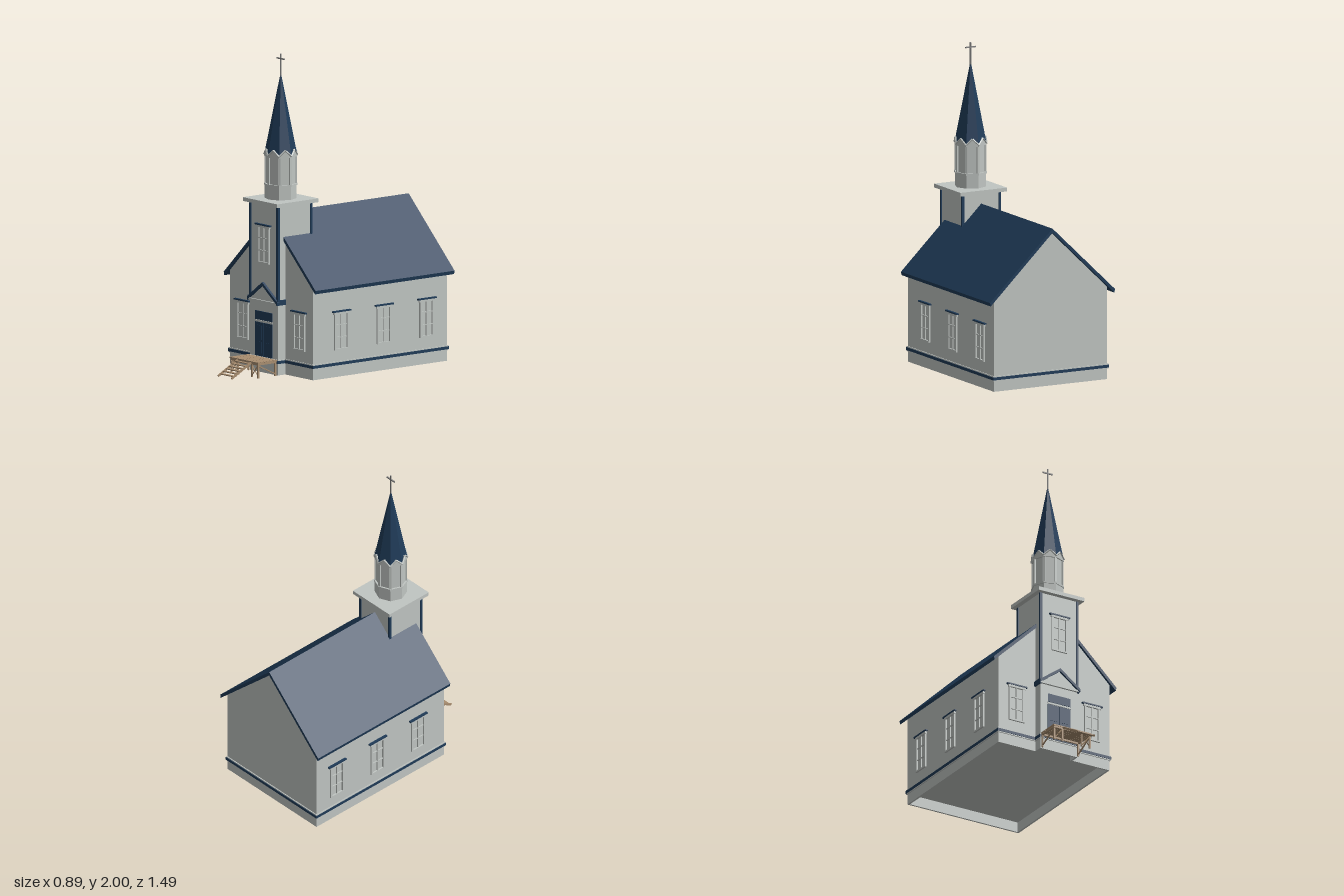
import * as THREE from 'three';
import { toCreasedNormals } from 'three/addons/utils/BufferGeometryUtils.js';

const mat = (name, color) => Object.assign(new THREE.MeshStandardMaterial({ color }), { name });
const Z = new THREE.Vector3(0, 0, 1);

export function createModel() {
  const wall = mat('wall white', 0xc0c5c2);
  const blue = mat('slate blue', 0x1f3b58);
  const wood = mat('weathered wood', 0xa98e70);
  const metal = mat('cross metal', 0x858585);
  const root = new THREE.Group();
  root.name = 'church';

  const add = (parent, name, geo, material) => {
    const m = new THREE.Mesh(geo, material);
    m.name = name;
    parent.add(m);
    return m;
  };
  // box given by its limits
  const box = (parent, name, material, x0, x1, y0, y1, z0, z1) => {
    const m = add(parent, name, new THREE.BoxGeometry(x1 - x0, y1 - y0, z1 - z0), material);
    m.position.set((x0 + x1) / 2, (y0 + y1) / 2, (z0 + z1) / 2);
    return m;
  };
  // square bar between two points
  const bar = (parent, name, material, a, b, w, d = w) => {
    const p = new THREE.Vector3(...a), q = new THREE.Vector3(...b);
    const m = add(parent, name, new THREE.BoxGeometry(w, d, p.distanceTo(q)), material);
    m.position.copy(p).add(q).multiplyScalar(0.5);
    m.quaternion.setFromUnitVectors(Z, q.sub(p).normalize());
    return m;
  };
  const prism = (parent, name, material, pts, z0, z1) => {
    const shape = new THREE.Shape(pts.map(p => new THREE.Vector2(...p)));
    const geo = new THREE.ExtrudeGeometry(shape, { depth: z1 - z0, bevelEnabled: false });
    geo.translate(0, 0, z0);
    return add(parent, name, geo, material);
  };
  const octagon = (parent, name, material, rTop, rBottom, y0, y1, z) => {
    const geo = new THREE.CylinderGeometry(rTop, rBottom, y1 - y0, 8);
    const m = add(parent, name, toCreasedNormals(geo, 0.3), material);
    m.position.set(0, (y0 + y1) / 2, z);
    return m;
  };

  // hollow foundation following the nave and tower outline
  const outline = o => [[-0.405 + o, 0.72 - o], [-0.405 + o, -0.365 + o], [-0.135 + o, -0.365 + o],
    [-0.135 + o, -0.425 + o], [0.135 - o, -0.425 + o], [0.135 - o, -0.365 + o],
    [0.405 - o, -0.365 + o], [0.405 - o, 0.72 - o]].map(p => new THREE.Vector2(...p));
  const plan = new THREE.Shape(outline(0));
  plan.holes.push(new THREE.Path(outline(0.012)));
  const footing = new THREE.ExtrudeGeometry(plan, { depth: 0.07, bevelEnabled: false });
  footing.rotateX(-Math.PI / 2);
  add(root, 'foundation', footing, wall);

  // nave and roof
  prism(root, 'naveWalls', wall,
    [[-0.405, 0.066], [0.405, 0.066], [0.405, 0.585], [0, 0.978], [-0.405, 0.585]], -0.72, 0.365);
  prism(root, 'naveRoof', blue,
    [[0, 1], [-0.447, 0.572], [-0.442, 0.55], [0, 0.974], [0.442, 0.55], [0.447, 0.572]], -0.745, 0.38);

  // tower and its cap
  box(root, 'towerWalls', wall, -0.135, 0.135, 0.066, 1.066, 0.155, 0.425);
  box(root, 'towerCap', wall, -0.167, 0.167, 1.066, 1.09, 0.123, 0.457);
  for (const sx of [-1, 1]) {
    for (const z of [0.158, 0.422]) {
      const c = box(root, 'towerCornerBoard', blue, -0.008, 0.008, 0.47, 1.066, z - 0.008, z + 0.008);
      c.position.x = sx * 0.132;
    }
  }

  // base bands around nave and tower
  for (const [name, m, y0, y1, o] of [
    ['lowerBaseTrim', wall, 0.067, 0.074, 0.006],
    ['baseBand', blue, 0.074, 0.092, 0.009],
    ['upperBaseTrim', wall, 0.092, 0.099, 0.006]]) {
    box(root, name, m, -0.405 - o, 0.405 + o, y0, y1, -0.72 - o, 0.365 + o);
    box(root, name, m, -0.135 - o, 0.135 + o, y0, y1, 0.3, 0.425 + o);
  }

  // windows: frame, mullions and hood, built facing +z
  const windowAt = (x, y0, y1, z, ry) => {
    const g = new THREE.Group();
    g.name = 'window';
    g.position.set(x, 0, z);
    g.rotation.y = ry;
    for (const s of [-1, 1]) {
      const j = box(g, 'jamb', wall, -0.006, 0.006, y0, y1, 0, 0.01);
      j.position.x = s * 0.05;
    }
    box(g, 'sill', wall, -0.056, 0.056, y0, y0 + 0.01, 0, 0.011);
    box(g, 'head', wall, -0.062, 0.062, y1 - 0.014, y1, 0, 0.012);
    box(g, 'mullion', wall, -0.004, 0.004, y0, y1, 0, 0.007);
    for (const t of [1 / 3, 2 / 3]) {
      const y = y0 + (y1 - y0) * t;
      box(g, 'glazingBar', wall, -0.05, 0.05, y - 0.003, y + 0.003, 0, 0.007);
    }
    box(g, 'hood', blue, -0.073, 0.073, y1, y1 + 0.009, 0, 0.016);
    root.add(g);
  };
  for (const s of [-1, 1]) {
    windowAt(s * 0.275, 0.17, 0.41, 0.365, 0);
    for (const z of [0.14, -0.205, -0.55]) windowAt(s * 0.405, 0.17, 0.41, z, s * Math.PI / 2);
  }
  windowAt(0, 0.69, 0.93, 0.425, 0);

  // double door with transom
  for (const s of [-1, 1]) {
    const leaf = box(root, 'doorLeaf', blue, -0.041, 0.041, 0.1, 0.314, 0.42, 0.428);
    leaf.position.x = s * 0.042;
    for (const [y0, y1] of [[0.12, 0.19], [0.205, 0.295]]) {
      const p = box(root, 'doorPanel', blue, -0.022, 0.022, y0, y1, 0.426, 0.431);
      p.position.x = s * 0.042;
    }
  }
  box(root, 'doorLintel', wall, -0.084, 0.084, 0.316, 0.328, 0.42, 0.43);
  box(root, 'transom', blue, -0.082, 0.082, 0.33, 0.385, 0.42, 0.43);

  // pediment above the door
  prism(root, 'pedimentFill', wall, [[-0.13, 0.458], [0.13, 0.458], [0, 0.555]], 0.42, 0.43);
  prism(root, 'pedimentRake', blue,
    [[0, 0.573], [-0.147, 0.465], [-0.147, 0.445], [-0.125, 0.46], [0, 0.552],
      [0.125, 0.46], [0.147, 0.445], [0.147, 0.465]], 0.42, 0.442);
  box(root, 'pedimentSill', wall, -0.14, 0.14, 0.444, 0.457, 0.42, 0.438);
  for (const s of [-1, 1]) {
    const r = box(root, 'pedimentReturn', blue, -0.007, 0.007, 0.442, 0.474, 0.366, 0.438);
    r.position.x = s * 0.138;
  }

  // belfry
  const cz = 0.29;
  octagon(root, 'belfryBase', wall, 0.1, 0.1, 1.09, 1.175, cz);
  octagon(root, 'belfryBand', wall, 0.106, 0.106, 1.173, 1.185, cz);
  octagon(root, 'belfryDrum', wall, 0.095, 0.095, 1.185, 1.375, cz);
  for (let i = 0; i < 8; i++) {
    const side = new THREE.Group();
    side.name = 'belfrySide';
    side.position.z = cz;
    side.rotation.y = (i + 0.5) * Math.PI / 4;
    prism(side, 'belfryGable', wall,
      [[-0.04, 1.355], [0.04, 1.355], [0.04, 1.368], [0, 1.405], [-0.04, 1.368]], 0.08, 0.096);
    for (const s of [-1, 1]) {
      bar(side, 'gableTrim', wall, [s * 0.041, 1.366, 0.096], [0, 1.404, 0.096], 0.008);
    }
    root.add(side);
    const post = new THREE.Group();
    post.name = 'belfryPost';
    post.position.z = cz;
    post.rotation.y = i * Math.PI / 4;
    box(post, 'pilaster', wall, -0.008, 0.008, 1.185, 1.365, 0.084, 0.1);
    root.add(post);
  }

  // spire and cross
  octagon(root, 'spire', blue, 0.002, 0.102, 1.372, 1.875, cz);
  box(root, 'crossPost', metal, -0.004, 0.004, 1.85, 2, cz - 0.004, cz + 0.004);
  box(root, 'crossArm', metal, -0.036, 0.036, 1.966, 1.974, cz - 0.004, cz + 0.004);

  // porch deck
  for (let i = 0; i < 6; i++) {
    const z = 0.436 + i * 0.0255;
    box(root, 'deckPlank', wood, -0.138, 0.138, 0.092, 0.1, z, z + 0.0247);
  }
  for (const z of [0.442, 0.58]) box(root, 'deckBeam', wood, -0.132, 0.132, 0.08, 0.092, z - 0.005, z + 0.005);
  for (const s of [-1, 1]) {
    bar(root, 'deckJoist', wood, [s * 0.13, 0.086, 0.44], [s * 0.13, 0.086, 0.585], 0.01);
    for (const [x, z] of [[0.13, 0.58], [0.07, 0.58], [0.13, 0.442]]) {
      bar(root, 'deckPost', wood, [s * x, 0, z], [s * x, 0.09, z], 0.01);
    }
    bar(root, 'frontBrace', wood, [s * 0.07, 0.008, 0.583], [s * 0.13, 0.08, 0.583], 0.006);
    bar(root, 'frontBrace', wood, [s * 0.13, 0.008, 0.58], [s * 0.07, 0.08, 0.58], 0.006);
    bar(root, 'sideBrace', wood, [s * 0.13, 0.012, 0.442], [s * 0.13, 0.078, 0.58], 0.007);
    bar(root, 'stairStringer', wood, [s * 0.065, 0.09, 0.585], [s * 0.065, 0.006, 0.742], 0.008, 0.012);
  }

  // stair treads
  for (let i = 0; i < 6; i++) {
    const z = 0.588 + i * 0.0235, y = 0.088 - i * 0.0135;
    box(root, 'stairTread', wood, -0.068, 0.068, y - 0.006, y, z, z + 0.0225);
  }
  return root;
}
